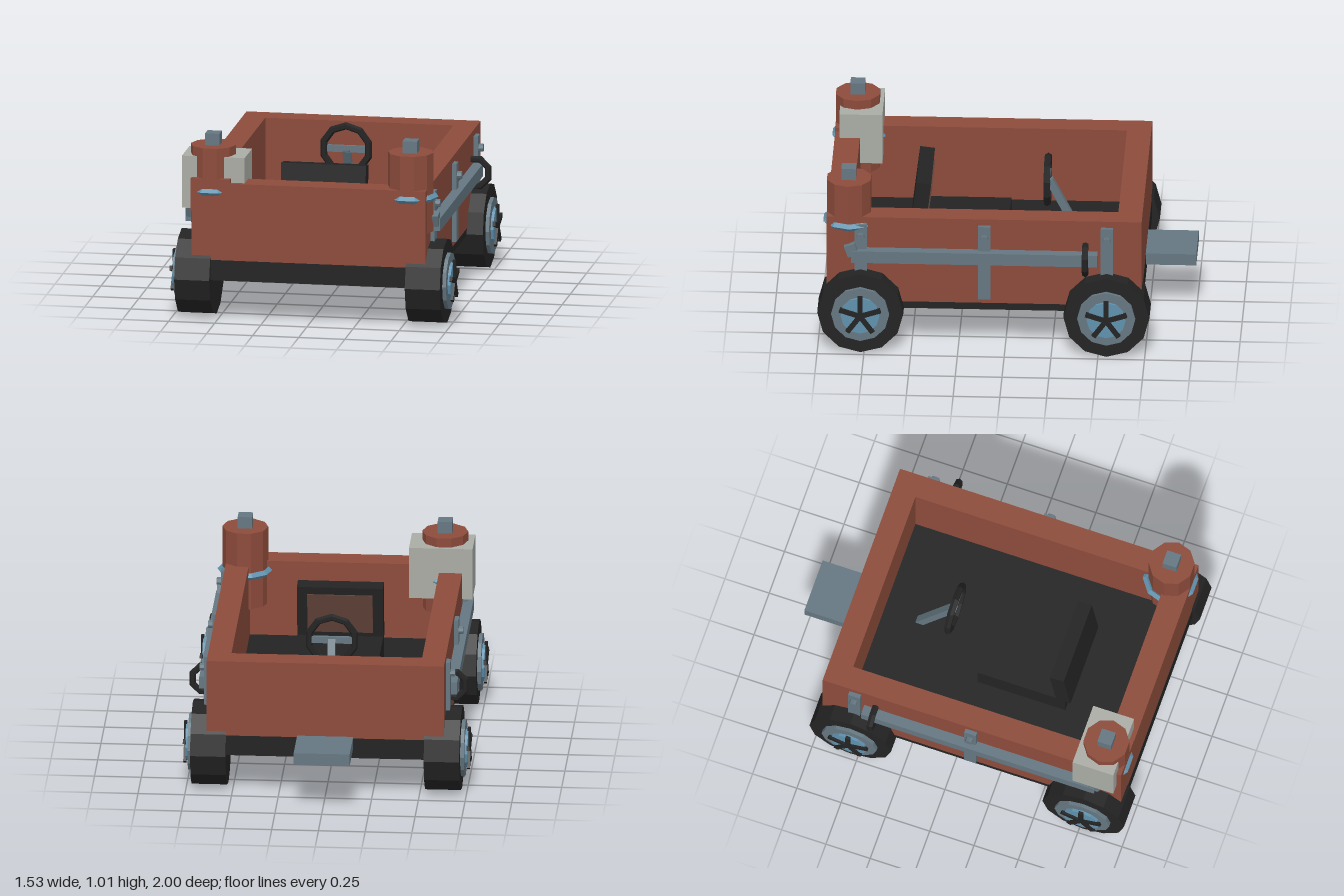
import * as THREE from 'three';

export function createModel() {
  const group = new THREE.Group();
  const mat = (name, color) => {
    const m = new THREE.MeshStandardMaterial({ color, flatShading: true });
    m.name = name;
    return m;
  };
  const rust = mat('rust red', 0x8c4b3b);
  const black = mat('black', 0x232323);
  const steel = mat('steel grey', 0x657781);
  const blue = mat('steel blue', 0x6091ad);
  const stone = mat('pale grey', 0xaaaca5);
  const leather = mat('brown leather', 0x5e4139);

  const add = (name, geo, material, x = 0, y = 0, z = 0, parent = group) => {
    const m = new THREE.Mesh(geo, material);
    m.name = name;
    m.position.set(x, y, z);
    parent.add(m);
    return m;
  };
  // Box given by its limits on each axis
  const box = (name, material, [x0, x1], [y0, y1], [z0, z1], parent = group) =>
    add(name, new THREE.BoxGeometry(x1 - x0, y1 - y0, z1 - z0), material,
      (x0 + x1) / 2, (y0 + y1) / 2, (z0 + z1) / 2, parent);
  // Disc or cylinder lying along x
  const axleCylinder = (r, length, sides) =>
    new THREE.CylinderGeometry(r, r, length, sides).rotateZ(Math.PI / 2);

  // Chassis and open body
  box('chassis', black, [-0.632, 0.632], [0.225, 0.336], [-0.732, 0.957]);
  box('frontWall', rust, [-0.635, 0.635], [0.265, 0.757], [0.82, 0.955]);
  box('backWall', rust, [-0.635, 0.635], [0.265, 0.757], [-0.73, -0.6]);
  for (const s of [-1, 1]) {
    const w = box('sideWall', rust, [-0.0625, 0.0625], [0.265, 0.757], [-0.6, 0.82]);
    w.position.x = s * 0.5725;
  }
  box('towPlate', steel, [-0.15, 0.15], [0.28, 0.345], [-1, -0.73]);

  // Seat with a leaning backrest
  box('seatBase', black, [-0.23, 0.23], [0.33, 0.48], [0.005, 0.5]);
  const backrest = new THREE.Group();
  backrest.name = 'backrest';
  backrest.position.set(0, 0.46, 0.49);
  backrest.rotation.x = -0.12;
  group.add(backrest);
  box('backrestFrame', black, [-0.23, 0.23], [0, 0.312], [-0.04, 0.04], backrest);
  box('backrestPad', leather, [-0.175, 0.175], [0.05, 0.27], [-0.048, -0.039], backrest);

  // Steering wheel, crossbar and column
  add('steeringWheel', new THREE.TorusGeometry(0.126, 0.02, 6, 10).rotateZ(Math.PI / 10),
    black, 0, 0.7, -0.2);
  box('steeringCrossbar', steel, [-0.12, 0.12], [0.682, 0.718], [-0.215, -0.195]);
  const column = add('steeringColumn', new THREE.BoxGeometry(0.04, 0.42, 0.04), steel, 0, 0.515, -0.305);
  column.rotation.x = Math.atan2(0.19, 0.37);

  // Wheels
  for (const s of [-1, 1]) {
    for (const z of [0.77, -0.545]) {
      const wheel = new THREE.Group();
      wheel.name = 'wheel';
      wheel.position.set(s * 0.625, 0.23, z);
      group.add(wheel);
      add('tyre', axleCylinder(0.23, 0.19, 12), black, 0, 0, 0, wheel);
      add('rim', axleCylinder(0.155, 0.02, 12), steel, s * 0.105, 0, 0, wheel);
      add('hubPlate', axleCylinder(0.104, 0.015, 12), blue, s * 0.1225, 0, 0, wheel);
      for (let i = 0; i < 5; i++) {
        const spoke = new THREE.BoxGeometry(0.016, 0.115, 0.026)
          .translate(0, 0.0575, 0).rotateX(i * Math.PI * 0.4);
        add('spoke', spoke, black, s * 0.134, 0, 0, wheel);
      }
    }
  }

  // Corner posts with square caps and clamp rings
  for (const s of [-1, 1]) {
    add('cornerPost', new THREE.CylinderGeometry(0.123, 0.123, 0.43, 10).rotateY(Math.PI / 10),
      rust, s * 0.535, 0.73, 0.838);
    box('postCap', steel, [s * 0.535 - 0.039, s * 0.535 + 0.039], [0.94, 1.01], [0.8, 0.878]);
    add('clampRing', new THREE.TorusGeometry(0.129, 0.02, 4, 10).rotateX(Math.PI / 2),
      blue, s * 0.535, 0.705, 0.832);
  }
  box('cornerBlock', stone, [-0.69, -0.35], [0.61, 0.895], [0.7, 0.93]);
  box('cornerPlate', rust, [-0.638, -0.425], [0.6, 0.78], [0.93, 0.956]);

  // Side rails, straps, bolts and grab rings
  for (const s of [-1, 1]) {
    const fittings = new THREE.Group();
    fittings.name = 'sideFittings';
    group.add(fittings);
    const sided = (a, b) => (s > 0 ? [a, b] : [-b, -a]);
    box('rail', steel, sided(0.63, 0.69), [0.512, 0.58], [-0.495, 0.82], fittings);
    for (const z of [0.77, 0.11, -0.545]) {
      box('strap', steel, sided(0.63, 0.658), [0.295, 0.722], [z - 0.033, z + 0.033], fittings);
      add('bolt', axleCylinder(0.022, 0.03, 8), steel, s * 0.668, 0.655, z, fittings);
    }
    const bracket = add('railBracket', new THREE.BoxGeometry(0.045, 0.065, 0.06), steel,
      s * 0.662, 0.58, 0.82, fittings);
    bracket.rotation.x = 0.35;
    add('grabRing', new THREE.TorusGeometry(0.078, 0.019, 6, 8).rotateZ(Math.PI / 8),
      black, s * 0.657, 0.545, -0.43, fittings);
  }

  return group;
}
